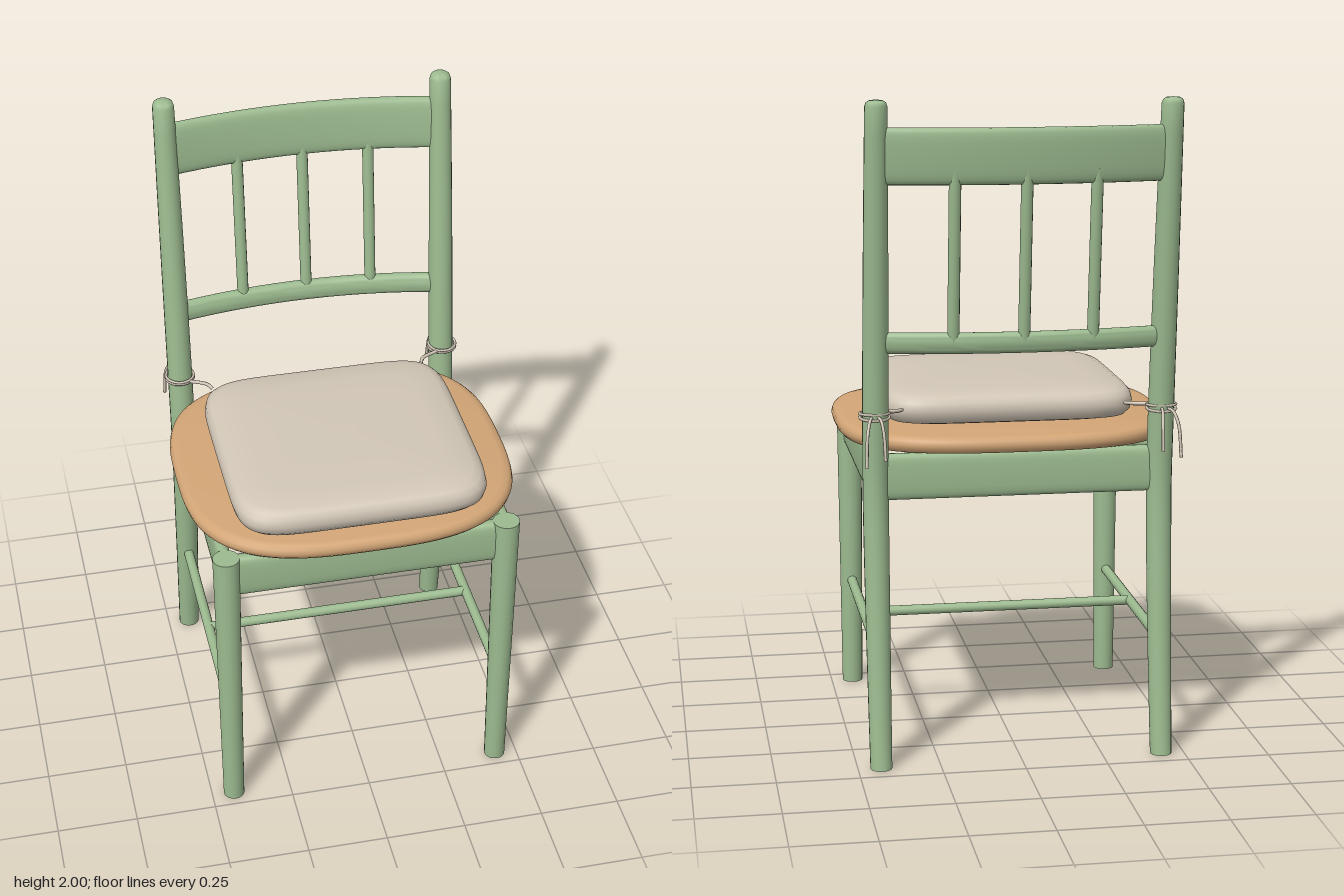
import * as THREE from 'three';
import { toCreasedNormals } from 'three/addons/utils/BufferGeometryUtils.js';

const paint = new THREE.MeshStandardMaterial({ color: 0x9dbb90 });
paint.name = 'green paint';
const wood = new THREE.MeshStandardMaterial({ color: 0xd2a576 });
wood.name = 'seat wood';
const fabric = new THREE.MeshStandardMaterial({ color: 0xd2c7b7 });
fabric.name = 'cushion fabric';

const V = (x, y, z) => new THREE.Vector3(x, y, z);
const spow = (v, p) => Math.sign(v) * Math.abs(v) ** p;

// Moves every vertex by a rule, then rebuilds smooth normals with sharp creases
function reshape(geo, rule) {
  const p = geo.attributes.position;
  const v = new THREE.Vector3();
  for (let i = 0; i < p.count; i++) {
    v.fromBufferAttribute(p, i);
    rule(v);
    p.setXYZ(i, v.x, v.y, v.z);
  }
  return toCreasedNormals(geo, 0.8);
}

const lathe = (pts, sides) =>
  new THREE.LatheGeometry(pts.map(([r, y]) => new THREE.Vector2(r, y)), sides);

// Soft slab with a superellipse outline; profile radii run from 0 to 1
function slab(profile, hx, hz, n, cz) {
  return reshape(lathe(profile, 96), (v) => {
    const r = Math.hypot(v.x, v.z);
    if (r < 1e-6) { v.z = cz; return; }
    v.x = hx * r * spow(v.x / r, 2 / n);
    v.z = cz + hz * r * spow(v.z / r, 2 / n);
  });
}

// Rounded board along x, bowed backwards and leaning with the back
function board(length, height, depth, soft, bow = 0, lean = 0) {
  const geo = new THREE.CylinderGeometry(1, 1, length, 24, 16).rotateZ(Math.PI / 2);
  return reshape(geo, (v) => {
    v.y = spow(v.y, soft) * height / 2;
    const t = 2 * v.x / length;
    v.z = spow(v.z, soft) * depth / 2 - bow * (1 - t * t) - lean * v.y;
  });
}

// Straight round rod between two points
function rod(a, b, r) {
  const geo = new THREE.CylinderGeometry(r, r, a.distanceTo(b), 12);
  const q = new THREE.Quaternion().setFromUnitVectors(V(0, 1, 0), b.clone().sub(a).normalize());
  geo.applyQuaternion(q);
  const m = a.clone().add(b).multiplyScalar(0.5);
  return geo.translate(m.x, m.y, m.z);
}

const cord = (pts, r) =>
  new THREE.TubeGeometry(new THREE.CatmullRomCurve3(pts), 20, r, 6);

// Sideways curve of the back posts
const postZ = (y) => y < 0.85
  ? -0.348 - 0.077 * ((0.85 - y) / 0.85) ** 1.4
  : -0.348 - 0.117 * ((y - 0.85) / 1.15) ** 1.15;

export function createModel() {
  const chair = new THREE.Group();
  chair.name = 'chair';
  const add = (name, geo, mat, x = 0, y = 0, z = 0) => {
    const m = new THREE.Mesh(geo, mat);
    m.name = name;
    m.position.set(x, y, z);
    chair.add(m);
    return m;
  };

  // Seat board with a rounded rim
  add('seat', slab([[0, 0.95], [0.94, 0.95], [0.975, 0.953], [0.993, 0.963], [1, 0.976],
    [0.993, 0.989], [0.975, 0.998], [0.94, 1.001], [0, 1.001]], 0.515, 0.467, 3, 0.053), wood);

  // Padded cushion, slightly domed
  add('cushion', slab([[0, 1.01], [0.88, 1.01], [0.95, 1.017], [0.985, 1.033], [1, 1.057],
    [0.988, 1.08], [0.955, 1.095], [0.9, 1.103], [0.7, 1.108], [0, 1.11]],
  0.39, 0.38, 6.5, 0.1), fabric);

  // Post profile, bottom to rounded tip, subdivided so it can bend
  const post = [[0, 0], [0.033, 0]];
  for (let i = 1; i <= 24; i++) {
    const y = i * 1.98 / 24;
    post.push([0.033 + 0.006 * Math.sin(Math.PI * Math.min(y / 1.98, 1)), y]);
  }
  post.push([0.029, 1.992], [0.02, 1.998], [0, 2]);

  for (const s of [1, -1]) {
    const side = s > 0 ? 'left' : 'right';
    // Legs
    add(side + 'FrontLeg', toCreasedNormals(
      new THREE.CylinderGeometry(0.041, 0.033, 0.95, 16), 0.8), paint, s * 0.43, 0.475, 0.445);
    add(side + 'BackPost', reshape(lathe(post, 18), (v) => { v.z += postZ(v.y); }),
      paint, s * 0.43);
    // Side rail under the seat and side stretcher
    add(side + 'Apron', board(0.79, 0.14, 0.045, 0.55), paint, s * 0.43, 0.88, 0.05)
      .rotation.y = s * Math.PI / 2;
    add(side + 'Stretcher', rod(V(s * 0.43, 0.352, 0.44), V(s * 0.43, 0.352, -0.39), 0.016), paint);

    // Cushion tie: strap, loops round the post and two hanging tails
    add(side + 'TieStrap', cord([V(s * 0.34, 1.065, -0.27), V(s * 0.355, 1.068, -0.297),
      V(s * 0.405, 1.07, -0.322)], 0.006), fabric);
    for (const k of [0, 1]) {
      const loop = new THREE.TorusGeometry(0.044, 0.0045, 6, 24).rotateX(Math.PI / 2 + (k - 0.5) * 0.12);
      add(side + 'TieLoop', loop, fabric, s * 0.432, 1.064 + k * 0.012, -0.358);
      const x = 0.425 + k * 0.018;
      const out = k ? 0.025 : -0.012;
      add(side + 'TieTail', cord([V(s * x, 1.07, -0.395), V(s * (x + out * 0.4), 1.066, -0.43),
        V(s * (x + out * 0.8), 1.03, -0.458), V(s * (x + out), 0.935 + (1 - k) * 0.02, -0.474)],
      0.005), fabric);
    }
  }

  // Front and back rails under the seat, cross stretcher
  add('frontApron', board(0.84, 0.14, 0.045, 0.55), paint, 0, 0.88, 0.44);
  add('backApron', board(0.84, 0.14, 0.045, 0.55), paint, 0, 0.88, -0.348);
  add('crossStretcher', rod(V(-0.43, 0.352, 0.04), V(0.43, 0.352, 0.04), 0.016), paint);

  // Bowed back rails
  add('topRail', board(0.86, 0.165, 0.038, 0.6, 0.05, 0.1), paint, 0, 1.838, -0.447);
  add('lowerBackRail', board(0.86, 0.064, 0.04, 0.8, 0.05, 0.1), paint, 0, 1.29, -0.388);

  // Spindles follow the bow of the rails
  for (const x of [-0.207, 0, 0.207]) {
    const bow = 0.05 * (1 - (x / 0.43) ** 2);
    add('spindle', rod(V(x, 1.29, -0.39 - bow), V(x, 1.8, -0.444 - bow), 0.018), paint);
  }
  return chair;
}
